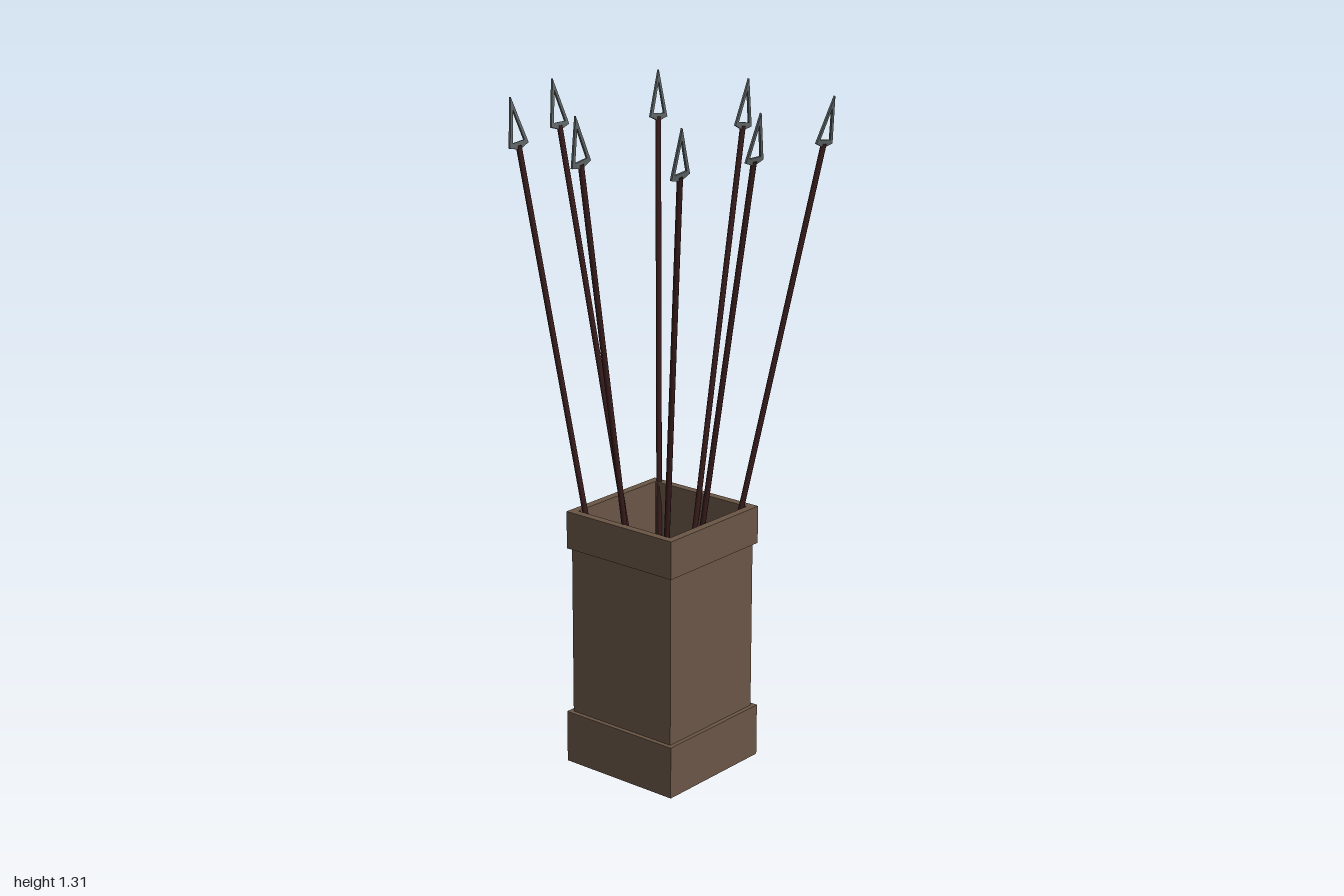
import * as THREE from 'three';

export function createModel() {
  const model = new THREE.Group();
  const wood = new THREE.MeshStandardMaterial({ name: 'brown wood', color: 0x6a5646 });
  const shaftMat = new THREE.MeshStandardMaterial({ name: 'dark red wood', color: 0x381c1c });
  const steel = new THREE.MeshStandardMaterial({ name: 'grey steel', color: 0x5c6264, side: THREE.DoubleSide });
  const feather = new THREE.MeshStandardMaterial({ name: 'grey feather', color: 0x78828a, side: THREE.DoubleSide });

  const add = (parent, name, geometry, material) => {
    const mesh = new THREE.Mesh(geometry, material);
    mesh.name = name;
    parent.add(mesh);
    return mesh;
  };

  // Open square box with a band at the top and a plinth at the bottom
  const box = new THREE.Group();
  box.name = 'arrowBox';
  box.position.set(0.02, 0, 0.398);
  model.add(box);
  const squarePath = (Type, h) => {
    const p = new Type();
    p.moveTo(-h, -h);
    p.lineTo(h, -h);
    p.lineTo(h, h);
    p.lineTo(-h, h);
    p.closePath();
    return p;
  };
  const squareTube = (outer, inner, y0, y1) => {
    const shape = squarePath(THREE.Shape, outer);
    shape.holes.push(squarePath(THREE.Path, inner));
    return new THREE.ExtrudeGeometry(shape, { depth: y1 - y0, bevelEnabled: false })
      .rotateX(-Math.PI / 2).translate(0, y0, 0);
  };
  add(box, 'walls', squareTube(0.123, 0.114, 0.02, 0.515), wood);
  add(box, 'topBand', squareTube(0.13, 0.114, 0.445, 0.52), wood);
  add(box, 'plinth', squareTube(0.132, 0.114, 0, 0.105), wood);
  add(box, 'floor', new THREE.BoxGeometry(0.24, 0.02, 0.24).translate(0, 0.01, 0), wood);

  // Arrowhead: a thin open triangle lying across z, with its base at y = 0
  const headShape = new THREE.Shape([[-0.025, 0], [0, -0.008], [0.025, 0], [0, 0.09]]
    .map(([x, y]) => new THREE.Vector2(x, y)));
  headShape.holes.push(new THREE.Path([[-0.016, 0.007], [0, 0.068], [0.016, 0.007]]
    .map(([x, y]) => new THREE.Vector2(x, y))));
  const headGeo = new THREE.ExtrudeGeometry(headShape, { depth: 0.004, bevelEnabled: false })
    .translate(0, 0, -0.002).rotateY(Math.PI / 2);

  // Feather vane: a slanted strip standing out from the shaft
  const vaneGeo = new THREE.ShapeGeometry(new THREE.Shape([[0, 0.04], [0.035, 0.02], [0.035, 0.12], [0, 0.17]]
    .map(([x, y]) => new THREE.Vector2(x, y))));

  // Each arrow: foot x, foot z, shaft top x, shaft top z
  const arrows = [
    [-0.04, 0.335, -0.163, 0.195],
    [0.019, 0.37, 0.019, 0.162],
    [0.05, 0.345, 0.235, 0.196],
    [0.05, 0.403, 0.235, 0.403],
    [0.06, 0.455, 0.218, 0.588],
    [0.019, 0.433, 0.019, 0.622],
    [-0.015, 0.465, -0.18, 0.57],
    [0.005, 0.387, -0.248, 0.384],
  ];
  const up = new THREE.Vector3(0, 1, 0);
  arrows.forEach(([x0, z0, x1, z1], i) => {
    const foot = new THREE.Vector3(x0, 0.05, z0);
    const dir = new THREE.Vector3(x1, 1.225, z1).sub(foot);
    const length = dir.length();
    const arrow = new THREE.Group();
    arrow.name = 'arrow' + (i + 1);
    arrow.position.copy(foot);
    arrow.quaternion.setFromUnitVectors(up, dir.normalize());
    model.add(arrow);
    add(arrow, 'shaft', new THREE.CylinderGeometry(0.0055, 0.0055, length, 8).translate(0, length / 2, 0), shaftMat);
    add(arrow, 'head', headGeo, steel).position.y = length;
    for (let k = 0; k < 3; k++) {
      add(arrow, 'vane', vaneGeo, feather).rotation.y = k * Math.PI * 2 / 3 + Math.PI / 2;
    }
  });
  return model;
}
